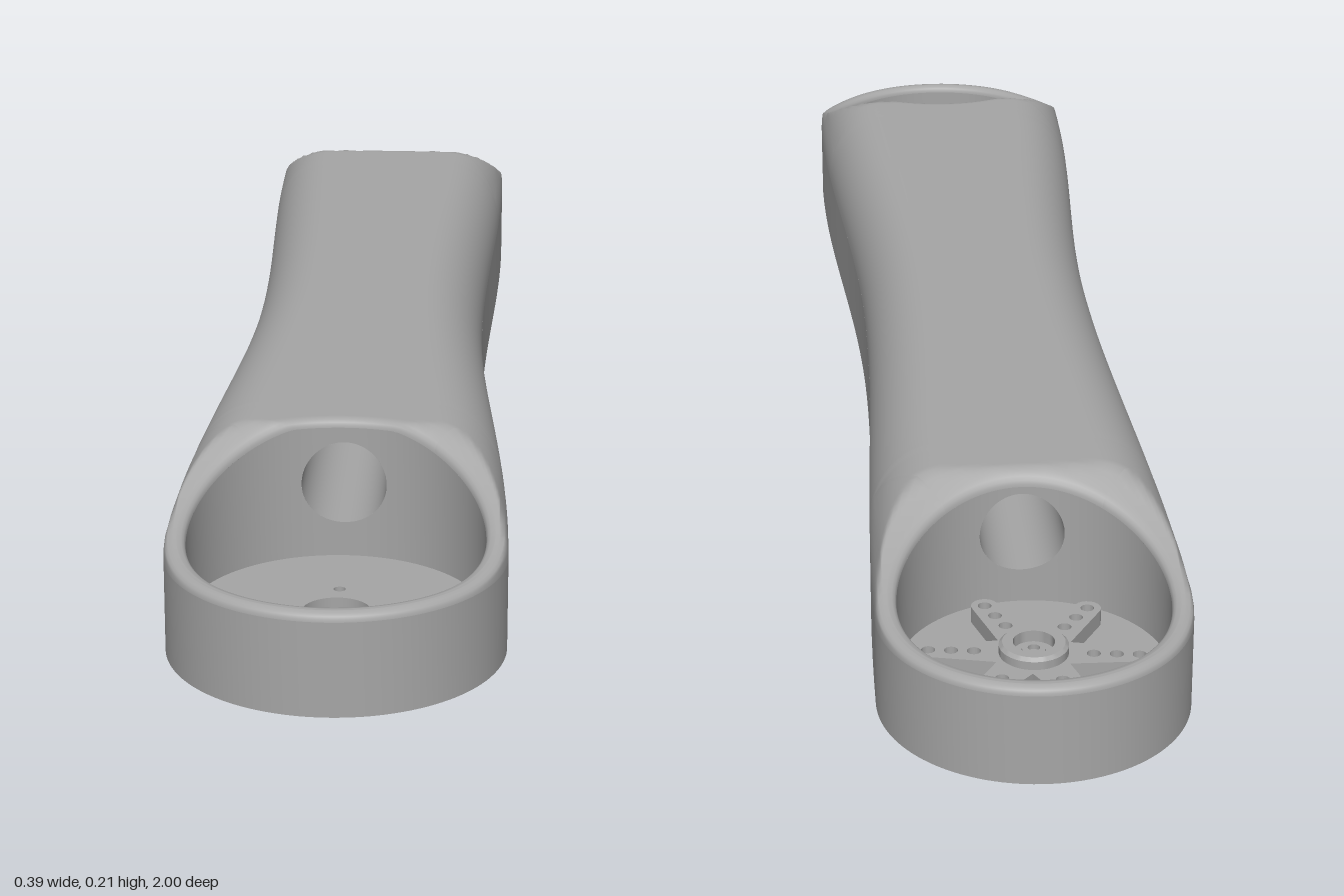
import * as THREE from 'three';
import { mergeGeometries, mergeVertices, toCreasedNormals } from 'three/addons/utils/BufferGeometryUtils.js';

// Each end of the link: z distance of its centre, outer radius, pocket radius
const FRONT = { s: 1, c: 0.807, R: 0.193, r: 0.168 };
const BACK = { s: -1, c: 0.82, R: 0.18, r: 0.155 };
const ENDS = [FRONT, BACK];
const WAIST = 0.155, TOP = 0.21, RIM = 0.12, WALL = 0.11, FLOOR = 0.04;
const JOIN = 0.58;                      // where the end rims meet the middle span
const BORE = { r: 0.05, y: 0.132 };     // cable tunnel
const FILLET = 0.01;

const range = (n, f) => Array.from({ length: n + 1 }, (_, i) => f(i / n));
const arcDrop = (d, f) => (d >= f ? 0 : f - Math.sqrt(Math.max(0, f * f - (f - d) ** 2)));

// Half width of the plan outline, waisted in the middle
const halfWidth = (e, z) => WAIST + (e.R - WAIST) * (1 - Math.cos(Math.PI * Math.min(1, z / e.c))) / 2;

// Height of the upper skin: rounded shoulders, scooped ends, softened rims
function height(x, worldZ) {
  const e = worldZ >= 0 ? FRONT : BACK, z = Math.abs(worldZ);
  const radial = Math.hypot(x, z - e.c);
  const d = Math.max(0, z > e.c ? e.R - radial : halfWidth(e, z) - Math.abs(x));
  const k = Math.max(0, 1 - d / 0.085);
  const crown = WALL + (TOP - WALL) * Math.sqrt(Math.max(0, 1 - k * k));
  const q = Math.min(1, Math.max(0, (0.94 - z) / 0.29));
  const scoop = RIM + (TOP - RIM) * q * q - arcDrop(d, FILLET);
  return Math.min(crown, scoop) - arcDrop(Math.max(0, radial - e.r), FILLET);
}

// Surface through rows of [x, y, z] points
function grid(rows) {
  const n = rows[0].length, index = [];
  for (let j = 0; j < rows.length - 1; j++) {
    for (let i = 0; i < n - 1; i++) {
      const a = j * n + i, b = a + n;
      index.push(a, a + 1, b, a + 1, b + 1, b);
    }
  }
  const g = new THREE.BufferGeometry();
  g.setAttribute('position', new THREE.Float32BufferAttribute(rows.flat(2), 3));
  g.setIndex(index);
  return g;
}

function smooth(list) {
  const g = mergeVertices(mergeGeometries(list), 1e-5);
  g.computeVertexNormals();
  return g;
}

// Plan path round one end, from z = start on one side to the other (local x, z)
function endPath(e, start) {
  const zs = range(16, t => start + (e.c - start) * t);
  const side = zs.map(z => [halfWidth(e, z), z]);
  const arc = range(64, t => [e.R * Math.cos(Math.PI * t), e.c + e.R * Math.sin(Math.PI * t)]).slice(1, -1);
  return [...side, ...arc, ...side.map(([x, z]) => [-x, z]).reverse()];
}

const acrossK = range(40, t => Math.sin((t - 0.5) * Math.PI));

// Upper skin round one pocket
function rimSkin(e) {
  const w = halfWidth(e, JOIN);
  const outer = [...acrossK.map(k => [w * k, JOIN]), ...endPath(e, JOIN).slice(1)];
  const near = [0, 0.0005, 0.002, 0.005, FILLET];
  const rows = [];
  const addRow = dist => rows.push(outer.map(([x, z]) => {
    const L = Math.hypot(x, z - e.c), rr = e.r + dist(L - e.r);
    const px = e.s * x * rr / L, pz = e.s * (e.c + (z - e.c) * rr / L);
    return [px, height(px, pz), pz];
  }));
  near.forEach(n => addRow(() => n));
  for (let i = 1; i < 9; i++) addRow(L => FILLET + (L - 2 * FILLET) * i / 9);
  [...near].reverse().forEach(n => addRow(L => L - n));
  return grid(rows);
}

// Vertical pocket wall with the tunnel mouth left open
function pocketWall(e) {
  const a0 = Math.asin(BORE.r / e.r);
  const at = (a, y) => {
    const x = e.s * e.r * Math.sin(a), z = e.s * (e.c - e.r * Math.cos(a));
    return [x, y ?? height(x, z), z];
  };
  const round = range(120, t => a0 + (2 * Math.PI - 2 * a0) * t);
  const mouth = range(32, t => Math.asin(-BORE.r * Math.cos(Math.PI * t) / e.r));
  const half = a => Math.sqrt(Math.max(0, BORE.r ** 2 - (e.r * Math.sin(a)) ** 2));
  return smooth([
    grid([round.map(a => at(a, FLOOR)), round.map(a => at(a))]),
    grid([mouth.map(a => at(a, FLOOR)), mouth.map(a => at(a, BORE.y - half(a)))]),
    grid([mouth.map(a => at(a, BORE.y + half(a))), mouth.map(a => at(a))]),
  ]);
}

const circlePath = (x, y, r) => new THREE.Path().absarc(x, y, r, 0, Math.PI * 2, true);

// Centre hole and two screw holes of an end (shape y is -z)
const HOLES = [[0, 0.04], [-0.065, 0.007], [0.065, 0.007]];
const endHoles = e => HOLES.map(([o, r]) => circlePath(0, -e.s * e.c + o, r));

// Six-armed horn
function hornGeometry() {
  const pts = [], holes = [];
  for (let i = 0; i < 6; i++) {
    const a = i * Math.PI / 3 - 0.12, c = Math.cos(a), s = Math.sin(a);
    pts.push(new THREE.Vector2(0.048 * Math.cos(a - Math.PI / 6), 0.048 * Math.sin(a - Math.PI / 6)));
    for (const b of range(10, t => (t - 0.5) * Math.PI)) {
      pts.push(new THREE.Vector2(0.12 * c + 0.016 * Math.cos(a + b), 0.12 * s + 0.016 * Math.sin(a + b)));
    }
    for (const d of [0.068, 0.094, 0.12]) holes.push(circlePath(d * c, d * s, 0.008));
  }
  const shape = new THREE.Shape(pts);
  shape.holes.push(...holes);
  return new THREE.ExtrudeGeometry(shape, { depth: 0.02, bevelEnabled: false, curveSegments: 12 }).rotateX(-Math.PI / 2);
}

export function createModel() {
  const group = new THREE.Group();
  group.name = 'armLink';
  const grey = new THREE.MeshStandardMaterial({ color: 0xa6a6a6, side: THREE.DoubleSide });
  grey.name = 'grey';
  const add = (name, geometry, x = 0, y = 0, z = 0) => {
    const m = new THREE.Mesh(geometry, grey);
    m.name = name;
    m.position.set(x, y, z);
    group.add(m);
  };

  // Upper skin: middle span and both rims
  const middle = grid(range(48, t => JOIN * (1 - 2 * t)).map(z => acrossK.map(k => {
    const x = k * halfWidth(z >= 0 ? FRONT : BACK, Math.abs(z));
    return [x, height(x, z), z];
  })));
  add('upperSkin', smooth([middle, ...ENDS.map(rimSkin)]));

  // Outer side wall and underside
  const outline = ENDS.flatMap(e => endPath(e, 0).map(([x, z]) => [e.s * x, e.s * z]));
  const loop = [...outline, outline[0]];
  add('sideWall', smooth([grid([loop.map(([x, z]) => [x, WALL, z]), loop.map(([x, z]) => [x, 0, z])])]));
  const base = new THREE.Shape(outline.map(([x, z]) => new THREE.Vector2(x, z)));
  base.holes.push(...ENDS.flatMap(e => HOLES.map(([o, r]) => circlePath(0, e.s * e.c + o, r))));
  add('underside', new THREE.ShapeGeometry(base, 32).rotateX(Math.PI / 2));

  // Pockets at both ends
  for (const e of ENDS) {
    const side = e.s > 0 ? 'front' : 'back';
    add(side + 'PocketWall', pocketWall(e));
    const floor = new THREE.Shape().absarc(0, -e.s * e.c, e.r, 0, Math.PI * 2);
    floor.holes.push(...endHoles(e));
    add(side + 'PocketFloor', new THREE.ShapeGeometry(floor, 60).rotateX(-Math.PI / 2));
    group.children.at(-1).position.y = FLOOR;
    for (const [o, r] of HOLES) {
      add(side + 'HoleWall', new THREE.CylinderGeometry(r, r, FLOOR, 32, 1, true), 0, FLOOR / 2, e.s * e.c + o);
    }
  }

  // Cable tunnel, its ends trimmed to the round pocket walls
  const tunnel = new THREE.CylinderGeometry(BORE.r, BORE.r, 1, 48, 1, true).rotateX(Math.PI / 2);
  const p = tunnel.attributes.position;
  for (let i = 0; i < p.count; i++) {
    const e = p.getZ(i) > 0 ? FRONT : BACK;
    p.setZ(i, e.s * (e.c - Math.sqrt(e.r ** 2 - p.getX(i) ** 2)));
  }
  add('cableTunnel', tunnel, 0, BORE.y, 0);

  // Drive horn and hub in the back pocket
  add('driveHorn', hornGeometry(), 0, FLOOR, -BACK.c);
  const hub = [[0, 0.008], [0.04, 0.008], [0.04, 0.07], [0.036, 0.074], [0.024, 0.074], [0.024, 0.056], [0, 0.056]];
  add('hub', toCreasedNormals(new THREE.LatheGeometry(hub.map(([x, y]) => new THREE.Vector2(x, y)), 40), 0.6), 0, 0, -BACK.c);
  const screw = [[0.014, 0.056], [0.014, 0.066], [0.007, 0.066], [0.007, 0.058], [0, 0.058]];
  add('hubScrew', toCreasedNormals(new THREE.LatheGeometry(screw.map(([x, y]) => new THREE.Vector2(x, y)), 24), 0.6), 0, 0, -BACK.c);
  return group;
}
